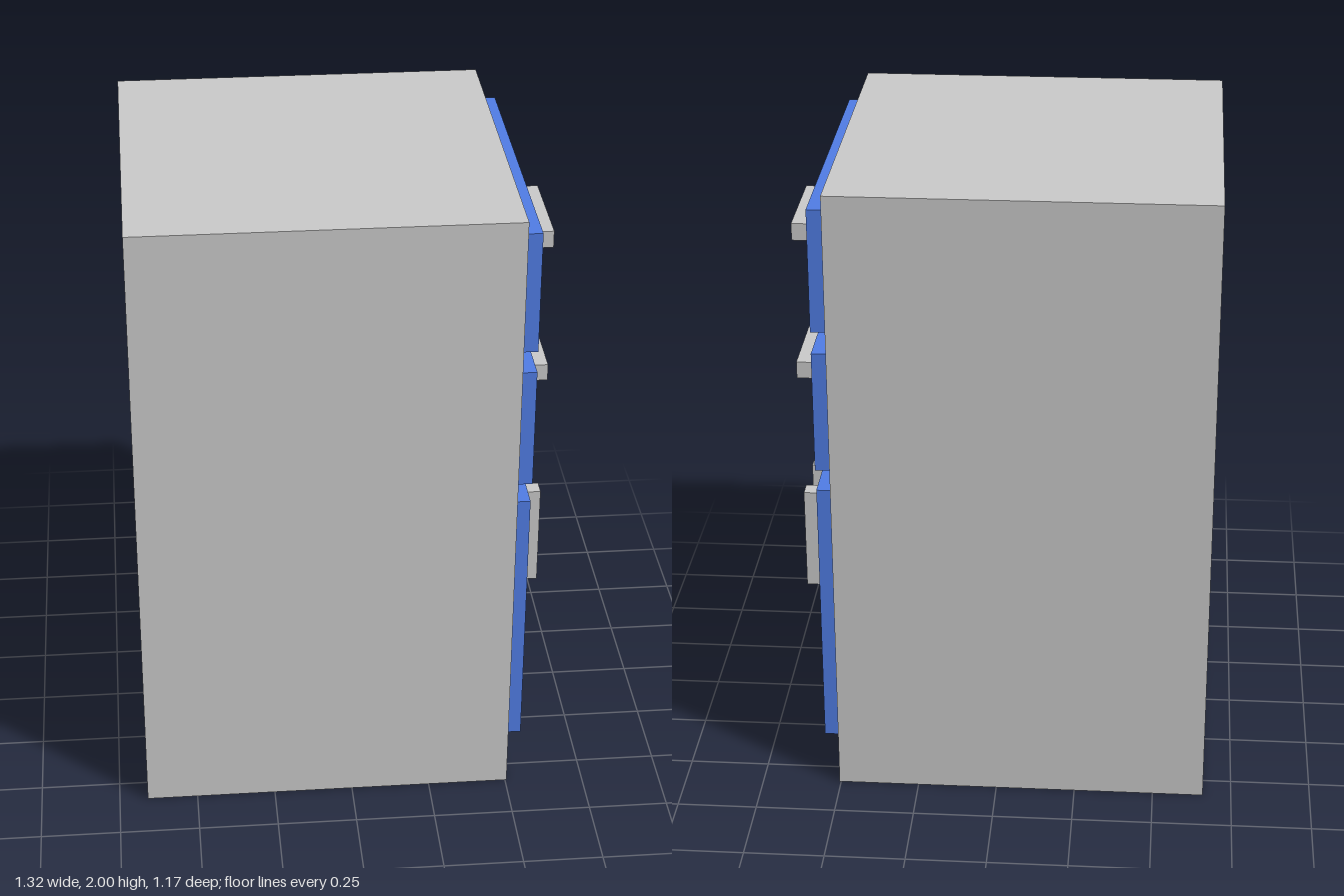
import * as THREE from 'three';

const grey = new THREE.MeshStandardMaterial({ color: 0xcccccc });
const blue = new THREE.MeshStandardMaterial({ color: 0x517ee7 });

const FACE = 0.505;  // x of the cabinet face the drawers and doors sit on
const PANEL = 0.055; // thickness of a drawer or door front

function box(name, material, [x0, x1], [y0, y1], [z0, z1]) {
  const mesh = new THREE.Mesh(new THREE.BoxGeometry(x1 - x0, y1 - y0, z1 - z0), material);
  mesh.name = name;
  mesh.position.set((x0 + x1) / 2, (y0 + y1) / 2, (z0 + z1) / 2);
  return mesh;
}

// Square-edged U handle: upright along y, projecting towards +x, centred
function handleGeometry() {
  const half = 0.169, leg = 0.057, gap = 0.042, depth = 0.097, width = 0.055;
  const outline = [
    [0, -half], [depth, -half], [depth, half], [0, half],
    [0, half - leg], [gap, half - leg], [gap, leg - half], [0, leg - half],
  ].map(([x, y]) => new THREE.Vector2(x, y));
  return new THREE.ExtrudeGeometry(new THREE.Shape(outline), { depth: width, bevelEnabled: false })
    .translate(0, 0, -width / 2);
}

export function createModel() {
  const model = new THREE.Group();
  model.name = 'cabinet';
  const handle = handleGeometry();

  const addFront = (name, y, z, handleY, handleZ, horizontal) => {
    const group = new THREE.Group();
    group.name = name;
    group.add(box(name + 'Panel', blue, [FACE, FACE + PANEL], y, z));
    const grip = new THREE.Mesh(handle, grey);
    grip.name = name + 'Handle';
    grip.position.set(FACE + PANEL, handleY, handleZ);
    if (horizontal) grip.rotation.x = Math.PI / 2;
    group.add(grip);
    model.add(group);
  };

  // Cabinet body
  model.add(box('body', grey, [-0.66, FACE], [0, 2], [-0.585, 0.585]));

  // Two drawers with horizontal handles
  addFront('upperDrawer', [1.54, 1.93], [-0.513, 0.515], 1.733, -0.018, true);
  addFront('lowerDrawer', [1.08, 1.47], [-0.513, 0.515], 1.268, -0.018, true);

  // Two doors with upright handles near the middle
  addFront('leftDoor', [0.125, 1.005], [0.024, 0.495], 0.64, 0.093, false);
  addFront('rightDoor', [0.125, 1.005], [-0.5, -0.03], 0.64, -0.108, false);

  return model;
}
